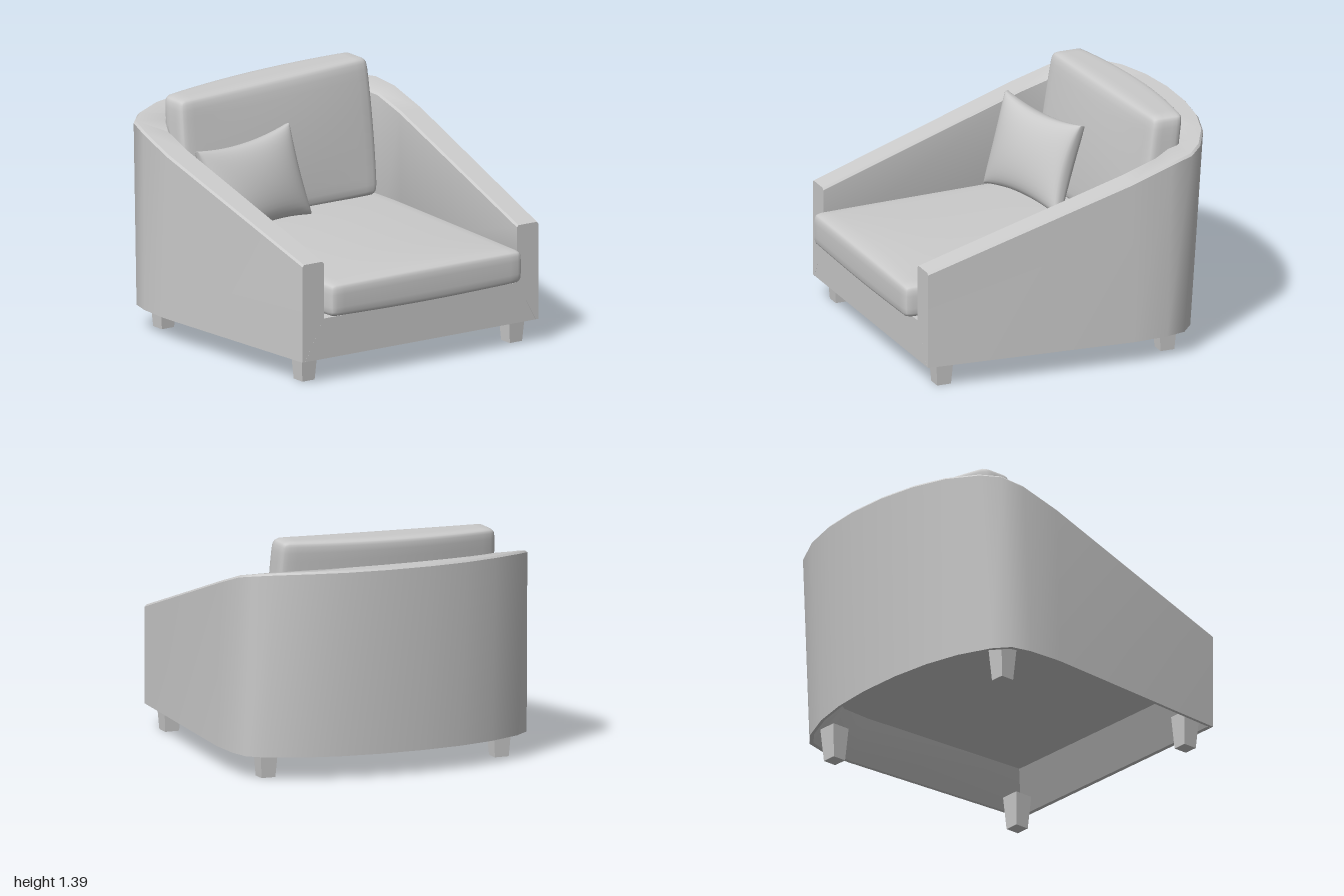
import * as THREE from 'three';
import { mergeVertices, toCreasedNormals } from 'three/addons/utils/BufferGeometryUtils.js';

const { clamp, lerp } = THREE.MathUtils;
const material = new THREE.MeshStandardMaterial({ color: 0xcccccc, roughness: 0.8 });
const FRONT = 0.925, BASE = 0.14, DECK = 0.38;

// Half plans (x, z) of the tub wall, from the arm front to the middle of the back
const outerHalf = [[0.83, FRONT], [0.9, -0.33], [0.89, -0.58], [0.86, -0.72], [0.77, -0.81], [0.58, -0.91], [0.37, -0.97], [0.13, -1]];
const innerHalf = [[0.68, FRONT], [0.74, -0.33], [0.73, -0.54], [0.66, -0.67], [0.58, -0.73], [0.45, -0.79], [0.29, -0.835], [0.1, -0.855]];
const mirrored = (half) => [...half, ...half.map(([x, z]) => [-x, z]).reverse()];
const outer = mirrored(outerHalf), inner = mirrored(innerHalf);

// Sloping top of the arms, levelling off behind
function topHeight(z) {
  if (z > -0.62) return lerp(0.72, 1.2, (FRONT - z) / (FRONT + 0.62));
  return z > -0.85 ? lerp(1.2, 1.24, (-0.62 - z) / 0.23) : lerp(1.24, 1.25, (-0.85 - z) / 0.15);
}

// Raked back and slightly flared sides
function place(x, y, z) {
  const back = clamp((-z - 0.3) / 0.7, 0, 1), side = clamp((FRONT - z) / 1.25, 0, 1);
  return [x * (1 + 0.022 * side * (1.1 - y)), y, z + 0.09 * back * (1.25 - y)];
}

function makeMesh(name, geometry) {
  const mesh = new THREE.Mesh(geometry, material);
  mesh.name = name;
  return mesh;
}

// Arms and back: one cross-section swept round the plan, capped at the arm fronts
function shellGeometry() {
  const rings = outer.map((o, i) => {
    const n = inner[i];
    const at = (t, y) => place(lerp(o[0], n[0], t), y, lerp(o[1], n[1], t));
    const yo = topHeight(o[1]), yi = topHeight(n[1]);
    return [at(0, BASE), at(0, yo - 0.012), at(0.07, yo), at(0.93, yi), at(1, yi - 0.012), at(1, DECK), at(0.13, BASE)];
  });
  const positions = [];
  const tri = (a, b, c) => positions.push(...a, ...b, ...c);
  const count = rings[0].length;
  for (let i = 0; i < rings.length - 1; i++) {
    for (let j = 0; j < count; j++) {
      const k = (j + 1) % count, p = rings[i], q = rings[i + 1];
      tri(p[j], q[j], q[k]);
      tri(p[j], q[k], p[k]);
    }
  }
  const first = rings[0], last = rings[rings.length - 1];
  for (let j = 1; j < count - 1; j++) {
    tri(first[0], first[j], first[j + 1]);
    tri(last[0], last[j + 1], last[j]);
  }
  const geometry = new THREE.BufferGeometry();
  geometry.setAttribute('position', new THREE.Float32BufferAttribute(positions, 3));
  return toCreasedNormals(geometry, 0.7);
}

// Moves every vertex by a rule that returns [x, y, z]
function reshape(geometry, rule) {
  const p = geometry.attributes.position;
  for (let i = 0; i < p.count; i++) p.setXYZ(i, ...rule(p.getX(i), p.getY(i), p.getZ(i)));
  geometry.computeVertexNormals();
  return geometry;
}

// Welded cube from -1 to 1, so that its normals come out smooth
function softCube(nx, ny, nz) {
  const box = new THREE.BoxGeometry(2, 2, 2, nx, ny, nz);
  box.deleteAttribute('normal');
  box.deleteAttribute('uv');
  return mergeVertices(box);
}

// Rounded block with dense edges, then bent by a rule
function cushionGeometry(half, radius, segments, rule) {
  const h = new THREE.Vector3(...half);
  const core = h.clone().subScalar(radius);
  return reshape(softCube(...segments), (x, y, z) => {
    const p = new THREE.Vector3(x, y, z);
    p.set(Math.sin(p.x * Math.PI / 2), Math.sin(p.y * Math.PI / 2), Math.sin(p.z * Math.PI / 2)).multiply(h);
    const q = p.clone().clamp(core.clone().negate(), core);
    p.sub(q).setLength(radius).add(q);
    return rule(p.x, p.y, p.z, p.x / h.x, p.y / h.y, p.z / h.z);
  });
}

export function createModel() {
  const chair = new THREE.Group();
  chair.name = 'armchair';
  chair.add(makeMesh('armsAndBack', shellGeometry()));

  // Front rail, mitred into the arms and sloping back underneath
  const rail = new THREE.BoxGeometry(2, 2, 2).toNonIndexed();
  chair.add(makeMesh('frontRail', reshape(rail, (x, y, z) => [
    x * (y > 0 ? 0.68 : 0.81),
    y > 0 ? DECK : BASE,
    z > 0 ? FRONT : y > 0 ? 0.77 : 0.9,
  ])));

  // Deck under the seat
  const plan = inner.map(([x, z]) => {
    const p = place(x, DECK, z);
    return new THREE.Vector2(p[0], Math.min(p[2], 0.9));
  });
  const deck = new THREE.ExtrudeGeometry(new THREE.Shape(plan), { depth: 0.02, bevelEnabled: false });
  deck.rotateX(Math.PI / 2).translate(0, DECK, 0);
  chair.add(makeMesh('deck', deck));

  // Seat cushion, crowned and widening with the arms
  chair.add(makeMesh('seatCushion', cushionGeometry([0.675, 0.1, 0.81], 0.045, [18, 8, 18], (x, y, z, u, v, w) => {
    const depth = z + 0.19;
    const crown = 0.025 * (1 - u * u) * (1 - w ** 6);
    return [
      x * (1 + 0.09 * clamp((FRONT - depth) / 1.25, 0, 1)),
      0.49 + y + (v > 0 ? crown * v : 0) + (v < 0 ? 0.008 * v * Math.cos(u * 2) : 0),
      depth,
    ];
  })));

  // Back cushion, leaning, slightly turned and higher on its left
  chair.add(makeMesh('backCushion', cushionGeometry([0.68, 0.39, 0.13], 0.05, [18, 16, 10], (x, y, z, u, v, w) => [
    x + 0.012 * u * (1 - v * v),
    0.985 + y + 0.02 * u * Math.max(v, 0),
    z - 0.6 - 0.055 * v - 0.03 * u + 0.07 * u * u * (1 - w) / 2 + 0.02 * Math.max(w, 0) * (1 - u * u) * (1 - v * v),
  ])));

  // Throw pillow: four drawn-out corners with a swollen middle
  const corners = [[-0.68, 0.6, -0.09], [0.045, 0.63, -0.235], [-0.745, 1.12, -0.255], [0.005, 1.14, -0.405]].map((c) => new THREE.Vector3(...c));
  const along = corners[1].clone().sub(corners[0]);
  const normal = along.cross(corners[2].clone().sub(corners[0])).normalize();
  chair.add(makeMesh('throwPillow', reshape(softCube(24, 20, 2), (x, y, z) => {
    const u = Math.sin(x * Math.PI / 2), v = Math.sin(y * Math.PI / 2);
    const s = (u * (1 - 0.07 * (1 - v * v)) + 1) / 2;
    const t = (v * (1 - 0.13 * (1 - u * u)) + 1) / 2;
    const low = corners[0].clone().lerp(corners[1], s);
    const high = corners[2].clone().lerp(corners[3], s);
    const thick = 0.012 + 0.095 * ((1 - u * u) * (1 - v * v)) ** 0.42;
    return low.lerp(high, t).addScaledVector(normal, z * thick).toArray();
  })));

  // Tapered square legs
  for (const x of [-0.73, 0.73]) {
    for (const z of [0.8, -0.6]) {
      const leg = new THREE.BoxGeometry(0.115, 0.2, 0.115).toNonIndexed();
      reshape(leg, (a, b, c) => [a * (b < 0 ? 0.75 : 1), b, c * (b < 0 ? 0.75 : 1)]);
      const mesh = makeMesh('leg', leg);
      mesh.position.set(x, 0.1, z);
      chair.add(mesh);
    }
  }
  return chair;
}
